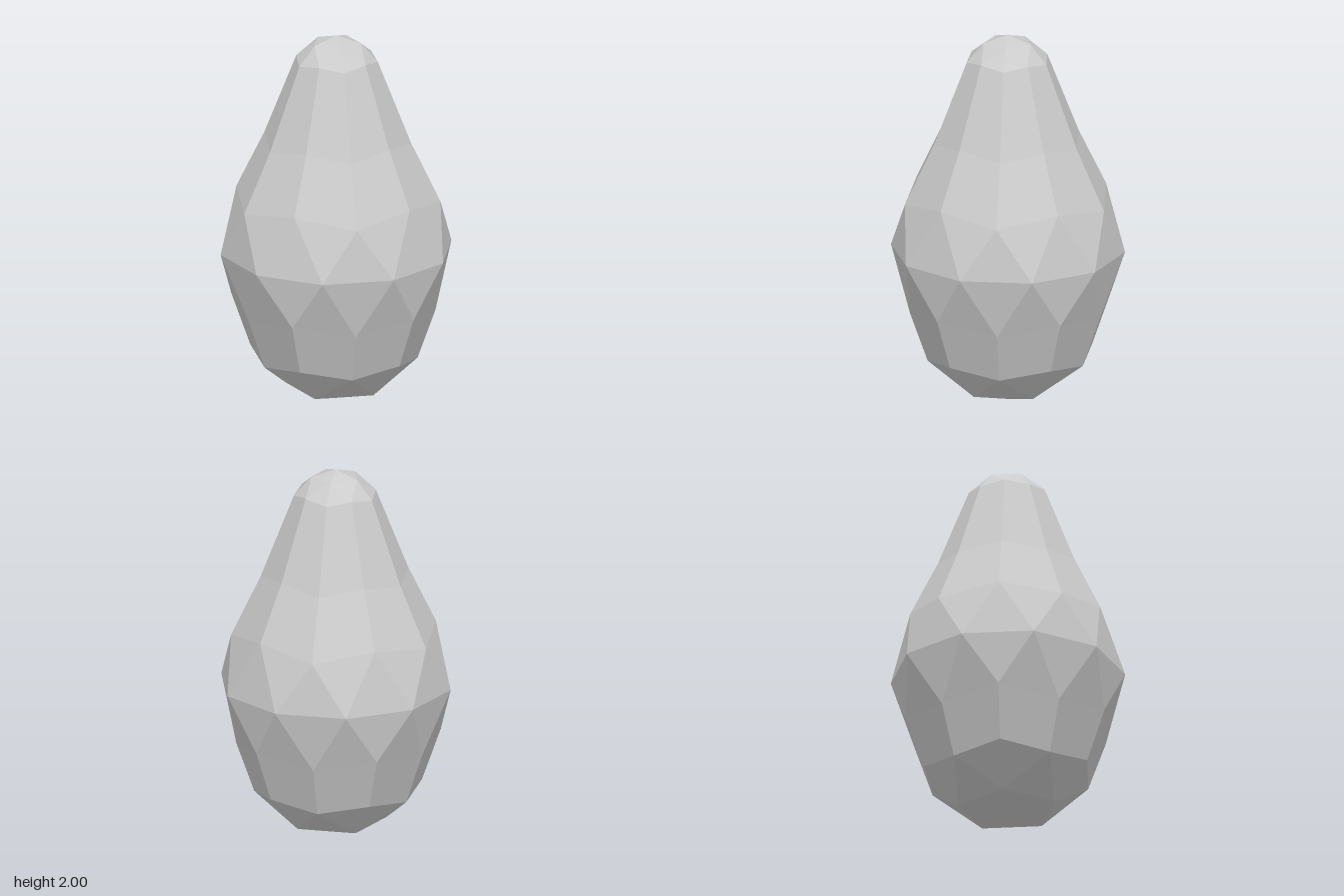
import * as THREE from 'three';
import { mergeGeometries } from 'three/addons/utils/BufferGeometryUtils.js';

const R = 0.615;       // radius at the widest ring
const EQUATOR = 0.83;  // height of the widest ring

// Point on the faceted sphere, scaled by s and raised by lift
const point = (degrees, radius, height, s = 1, lift = 0) => {
  const a = THREE.MathUtils.degToRad(degrees);
  return new THREE.Vector3(
    Math.cos(a) * radius * R * s, lift + height * R * s, -Math.sin(a) * radius * R * s);
};

// Half of a once-subdivided icosahedron, stretched through sections [scale, lift]
function halfGeometry(sections) {
  const corners = [];
  const tri = (a, b, c) => corners.push(a, b, c);

  const equator = Array.from({ length: 10 }, (_, i) => point(18 + 36 * i, 1, 0));
  // Ten-sided rings whose corners alternate between two levels
  const rings = sections.map(([s, lift]) => Array.from({ length: 10 }, (_, i) =>
    i % 2 ? point(36 * i, 0.8507, 0.5257, s, lift) : point(36 * i, 0.8944, 0.4472, s, lift)));

  // Belt of triangles above the widest ring
  for (let i = 0; i < 10; i++) {
    const n = (i + 1) % 10, p = (i + 9) % 10;
    tri(equator[p], equator[i], rings[0][i]);
    tri(equator[i], rings[0][n], rings[0][i]);
  }

  // Flat side panels between the sections
  for (let k = 1; k < rings.length; k++) {
    const a = rings[k - 1], b = rings[k];
    for (let i = 0; i < 10; i++) {
      const n = (i + 1) % 10;
      tri(a[i], a[n], b[n]);
      tri(a[i], b[n], b[i]);
    }
  }

  // Five-fold cap
  const [s, lift] = sections[sections.length - 1];
  const rim = rings[rings.length - 1];
  const pole = point(0, 0, 1, s, lift);
  const inner = Array.from({ length: 5 }, (_, i) => point(72 * i, 0.5257, 0.8507, s, lift));
  for (let i = 0; i < 5; i++) {
    const m = inner[i], next = inner[(i + 1) % 5];
    const side = rim[2 * i + 1];
    tri(rim[2 * i], side, m);
    tri(rim[(2 * i + 9) % 10], rim[2 * i], m);
    tri(side, next, m);
    tri(m, next, pole);
  }

  return new THREE.BufferGeometry().setFromPoints(corners);
}

export function createModel() {
  const group = new THREE.Group();
  group.name = 'pearShape';

  // Tapering neck above, shorter rounded base below (turned over)
  const neck = halfGeometry([[1, 0], [0.72, 0.392], [0.4, 0.924]]);
  const base = halfGeometry([[1, 0], [0.82, 0.326]]).rotateZ(Math.PI);
  const geometry = mergeGeometries([neck, base]).translate(0, EQUATOR, 0);
  geometry.computeVertexNormals();

  const body = new THREE.Mesh(
    geometry, new THREE.MeshStandardMaterial({ color: 0xcccccc, flatShading: true }));
  body.name = 'body';
  group.add(body);
  return group;
}
